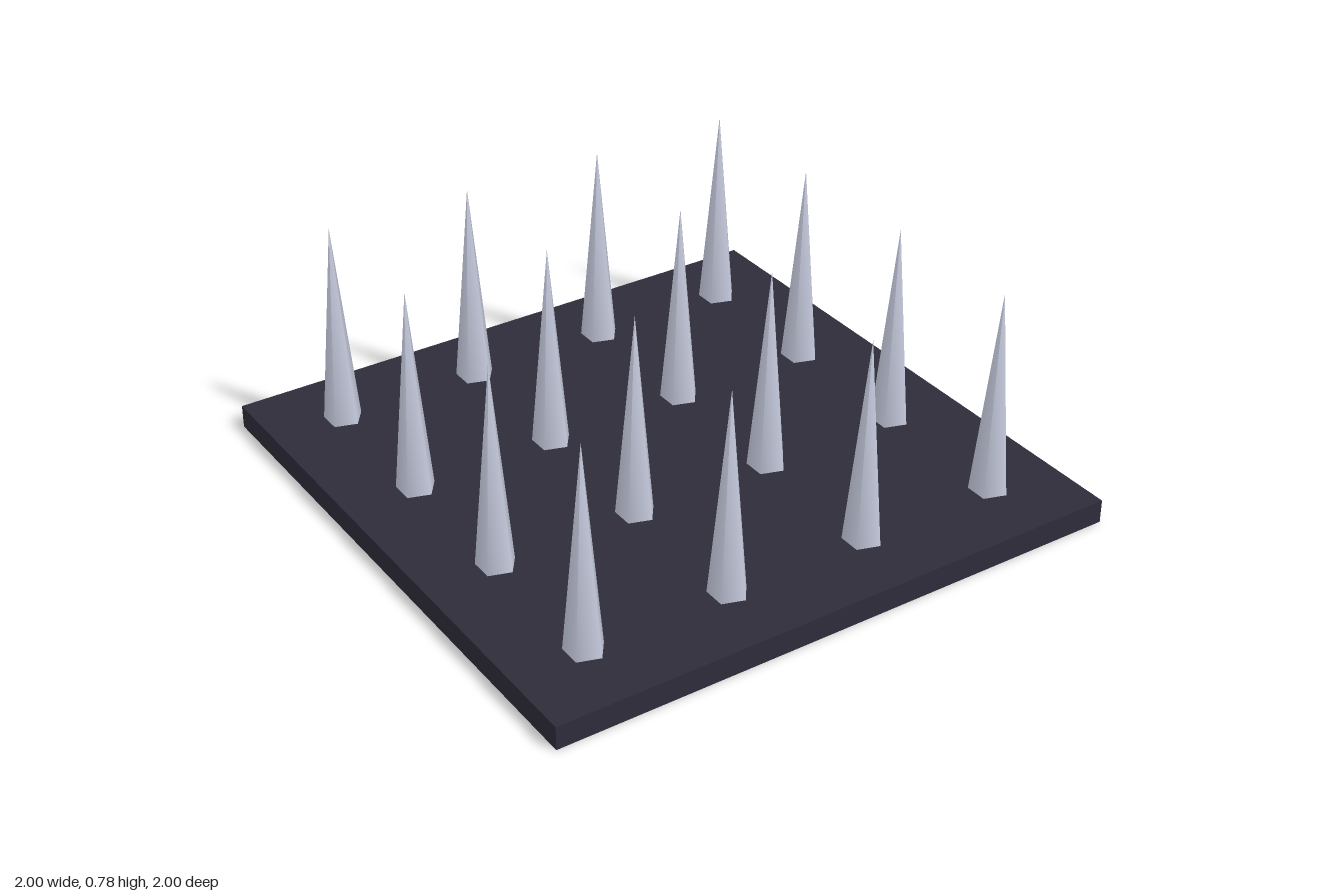
import * as THREE from 'three';

export function createModel() {
  const model = new THREE.Group();
  model.name = 'spikeTrap';

  const darkSlate = new THREE.MeshStandardMaterial({ color: 0x2e2c3a });
  darkSlate.name = 'dark slate';
  const paleSteel = new THREE.MeshStandardMaterial({ color: 0xc4c9dc });
  paleSteel.name = 'pale steel';

  // Square base plate
  const baseHeight = 0.08;
  const base = new THREE.Mesh(new THREE.BoxGeometry(2, baseHeight, 2), darkSlate);
  base.name = 'basePlate';
  base.position.y = baseHeight / 2;
  model.add(base);

  // Five-sided smooth spikes, one corner pointing to +x
  const spikeHeight = 0.7;
  const spikeGeometry = new THREE.ConeGeometry(0.065, spikeHeight, 5, 1, false, Math.PI / 2);
  const spikes = new THREE.Group();
  spikes.name = 'spikes';
  for (let row = 0; row < 4; row++) {
    for (let column = 0; column < 4; column++) {
      const spike = new THREE.Mesh(spikeGeometry, paleSteel);
      spike.name = `spike${row * 4 + column + 1}`;
      spike.position.set(-0.75 + column * 0.5, baseHeight + spikeHeight / 2, -0.75 + row * 0.5);
      spikes.add(spike);
    }
  }
  model.add(spikes);

  return model;
}
